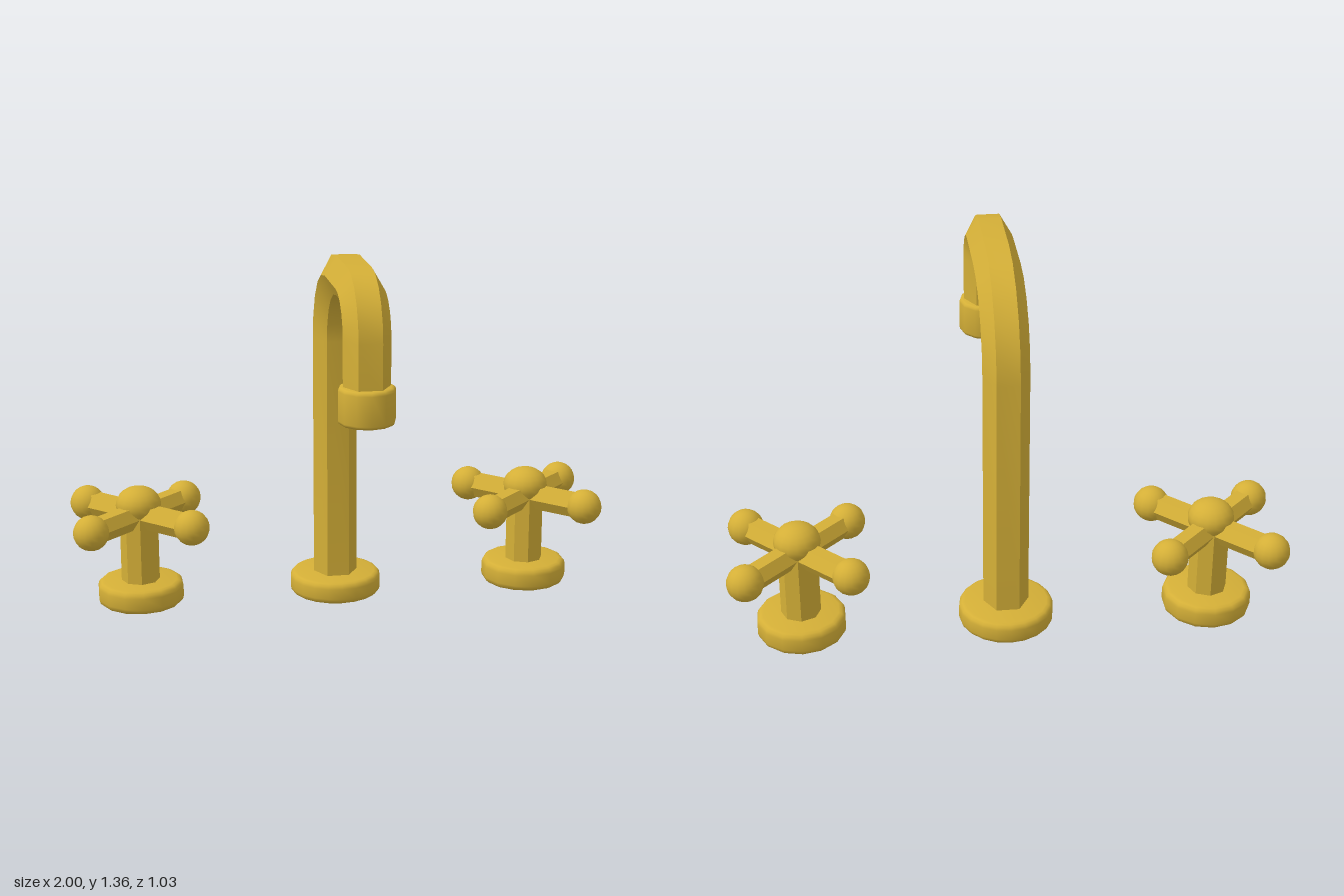
import * as THREE from 'three';
import { toCreasedNormals } from 'three/addons/utils/BufferGeometryUtils.js';

const brass = new THREE.MeshStandardMaterial({ color: 0xd4af37 });
brass.name = 'brass';

function add(parent, name, geometry, x = 0, y = 0, z = 0) {
  const mesh = new THREE.Mesh(geometry, brass);
  mesh.name = name;
  mesh.position.set(x, y, z);
  parent.add(mesh);
  return mesh;
}

// Solid disc with rounded rims, standing on y = 0
function roundedDisc(r, h, bevel, sides) {
  const p = [[0, 0]];
  const steps = 3;
  for (let i = 0; i <= steps; i++) {
    const a = (i / steps) * Math.PI / 2;
    p.push([r - bevel + bevel * Math.sin(a), bevel - bevel * Math.cos(a)]);
  }
  for (let i = 0; i <= steps; i++) {
    const a = (i / steps) * Math.PI / 2;
    p.push([r - bevel + bevel * Math.cos(a), h - bevel + bevel * Math.sin(a)]);
  }
  p.push([0, h]);
  const points = p.map(([x, y]) => new THREE.Vector2(x, y));
  return toCreasedNormals(new THREE.LatheGeometry(points, sides), 0.7);
}

// Six-sided pipe that rises, bends forward and drops to the outlet
function spoutPipe() {
  const r = 0.083, sides = 6;
  const rings = [[0.04, -0.264, 0]]; // y, z, heading
  const bend = (cy, cz, radius, from, steps) => {
    for (let i = 0; i <= steps; i++) {
      const a = from + (i / steps) * Math.PI / 2;
      rings.push([cy + radius * Math.sin(a), cz - radius * Math.cos(a), a]);
    }
  };
  bend(1.0, 0.029, 0.293, 0, 5);
  bend(1.147, 0.269, 0.146, Math.PI / 2, 5);
  rings.push([0.93, 0.415, Math.PI]);

  const pos = [], index = [];
  for (const [y, z, a] of rings) {
    for (let j = 0; j < sides; j++) {
      const t = (j / sides) * Math.PI * 2;
      const out = r * Math.sin(t);
      pos.push(r * Math.cos(t), y + out * Math.sin(a), z - out * Math.cos(a));
    }
  }
  for (let i = 0; i < rings.length - 1; i++) {
    for (let j = 0; j < sides; j++) {
      const k = (j + 1) % sides;
      const a = i * sides + j, b = i * sides + k;
      const c = b + sides, d = a + sides;
      index.push(a, b, d, b, c, d);
    }
  }
  const g = new THREE.BufferGeometry();
  g.setAttribute('position', new THREE.Float32BufferAttribute(pos, 3));
  g.setIndex(index);
  return toCreasedNormals(g, 0.7);
}

// Cross handle with stem, four ball-ended arms and a domed cap
function crossHandle(name, x) {
  const handle = new THREE.Group();
  handle.name = name;
  handle.position.set(x, 0, -0.266);
  add(handle, 'handleBase', roundedDisc(0.163, 0.09, 0.024, 14));

  const stem = new THREE.CylinderGeometry(0.072, 0.072, 0.3, 8);
  add(handle, 'handleStem', toCreasedNormals(stem, 0.7), 0, 0.22, 0);

  const armY = 0.345, reach = 0.26;
  const armShape = new THREE.CylinderGeometry(0.049, 0.049, reach, 6);
  armShape.rotateZ(-Math.PI / 2);       // lies along x
  armShape.translate(reach / 2, 0, 0);  // flat face on top, edges at the sides
  const armGeometry = toCreasedNormals(armShape, 0.7);
  const ball = new THREE.SphereGeometry(0.066, 16, 12);
  for (let i = 0; i < 4; i++) {
    const a = Math.PI / 4 + i * Math.PI / 2;
    const arm = add(handle, 'handleArm', armGeometry, 0, armY, 0);
    arm.rotation.y = a;
    add(handle, 'armBall', ball, reach * Math.cos(a), armY, -reach * Math.sin(a));
  }

  const cap = new THREE.SphereGeometry(0.085, 16, 12);
  cap.scale(1, 0.82, 1);
  add(handle, 'handleCap', cap, 0, 0.387, 0);
  return handle;
}

export function createModel() {
  const model = new THREE.Group();
  model.name = 'tap';

  const spout = new THREE.Group();
  spout.name = 'spout';
  add(spout, 'spoutBase', roundedDisc(0.173, 0.083, 0.022, 20), 0, 0, -0.266);
  add(spout, 'spoutPipe', spoutPipe());
  add(spout, 'spoutOutlet', roundedDisc(0.1, 0.132, 0.014, 12), 0, 0.855, 0.415);
  model.add(spout);

  model.add(crossHandle('leftHandle', 0.748), crossHandle('rightHandle', -0.748));
  return model;
}
